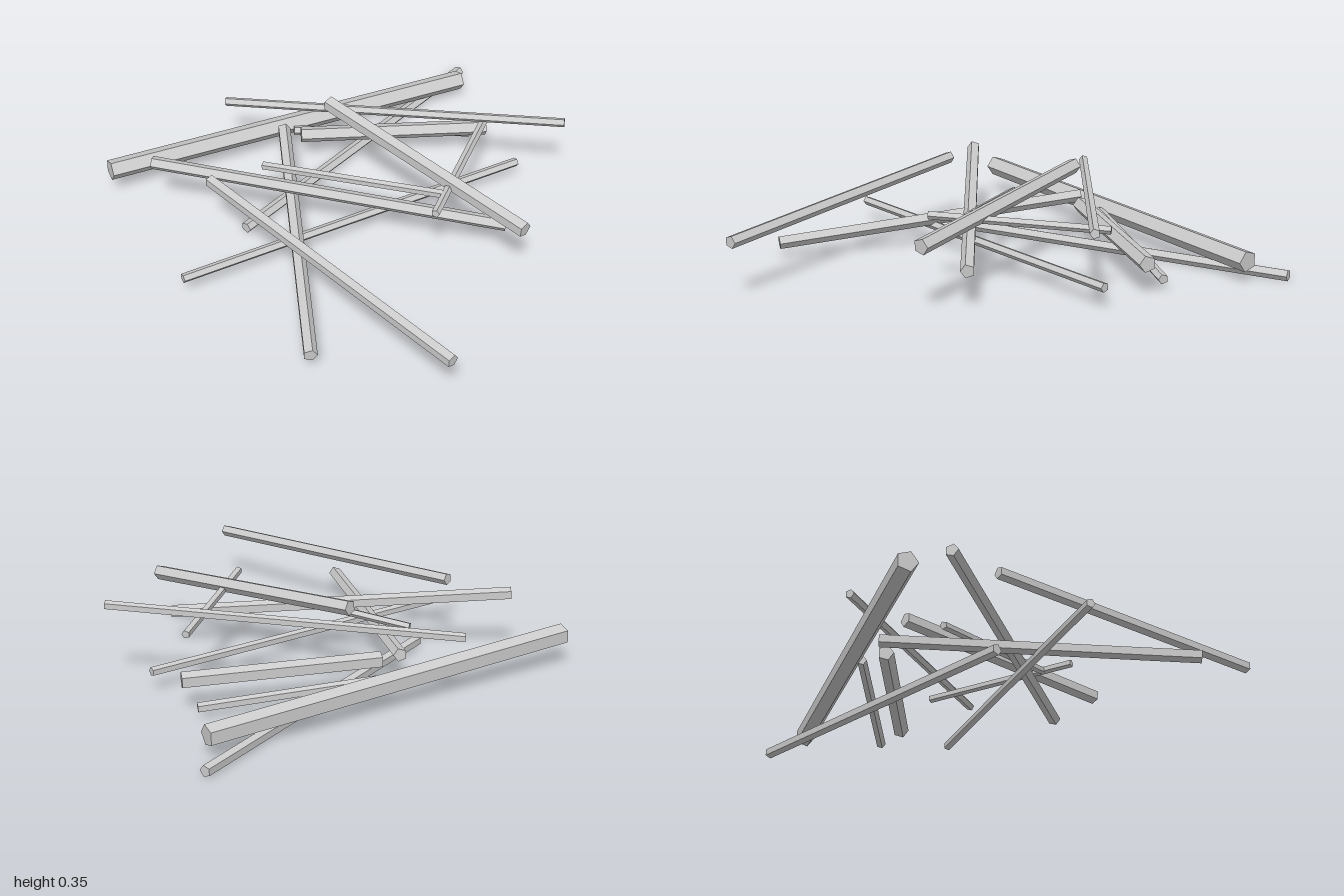
import * as THREE from 'three';

// each stick: radius, one end, other end
const STICKS = [
  [0.041, [-0.83, 0.12, 0.16], [0.365, 0.08, -0.84]],
  [0.022, [-0.255, 0.024, 0.26], [0.34, 0.022, -0.99]],
  [0.019, [-0.215, 0.095, -0.3], [0.465, 0.04, -0.533]],
  [0.032, [-0.165, 0.135, -0.225], [0.535, 0.118, -0.475]],
  [0.018, [-0.475, 0.24, -0.23], [0.86, 0.325, -0.29]],
  [0.016, [0.545, 0.245, -0.345], [0.475, 0.27, 0.305]],
  [0.018, [-0.375, 0.08, 0.655], [0.685, 0.08, -0.325]],
  [0.016, [-0.245, 0.165, 0.045], [0.48, 0.262, 0.175]],
  [0.026, [-0.625, 0.25, 0.235], [0.715, 0.14, 0.145]],
  [0.03, [-0.045, 0.325, -0.2], [0.8, 0.252, 0.295]],
  [0.026, [-0.235, 0.155, -0.22], [0.165, 0.062, 0.91]],
  [0.024, [-0.37, 0.27, 0.312], [0.665, 0.215, 0.975]],
];

export function createModel() {
  const group = new THREE.Group();
  group.name = 'stickPile';
  const wood = new THREE.MeshStandardMaterial({ color: 0xcccccc, flatShading: true });
  wood.name = 'paleGrey';

  STICKS.forEach(([radius, from, to], i) => {
    const a = new THREE.Vector3(...from);
    const b = new THREE.Vector3(...to);
    const axis = b.clone().sub(a);
    const length = axis.length();
    axis.normalize();

    // five-sided stick lying with one edge pointing sideways
    const side = new THREE.Vector3(-axis.z, 0, axis.x).normalize();
    if (side.x < 0) side.negate();
    const across = axis.clone().cross(side);
    const stick = new THREE.Mesh(new THREE.CylinderGeometry(radius, radius, length, 5), wood);
    stick.quaternion.setFromRotationMatrix(new THREE.Matrix4().makeBasis(across, axis, side));
    stick.position.copy(a).add(b).multiplyScalar(0.5);
    stick.name = `stick${i + 1}`;
    group.add(stick);
  });
  return group;
}
